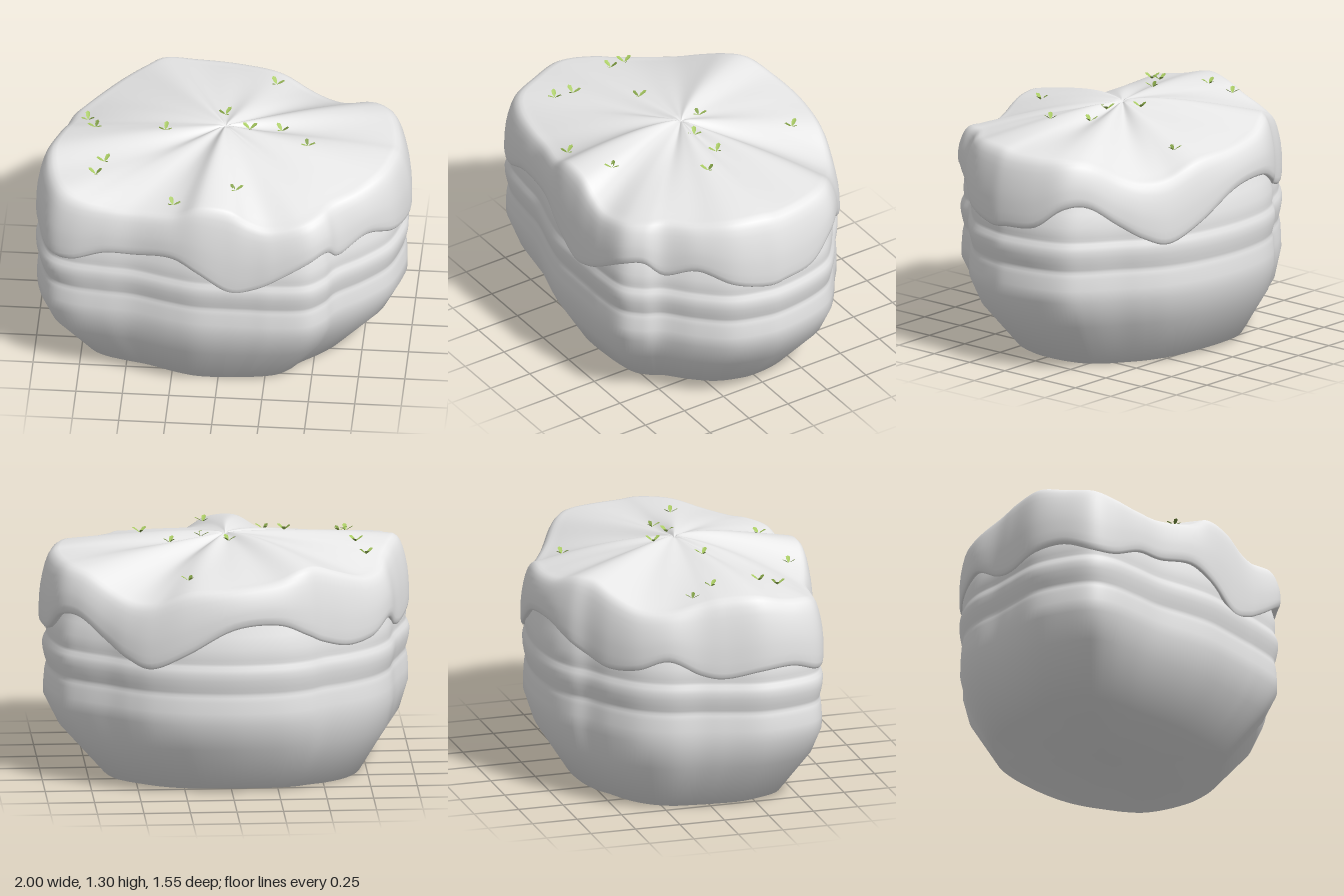
import * as THREE from 'three';

// outline control points: x, z, height of the drooping hem, height of the top edge
const OUTLINE = [
  [1, 0, .81, 1.2], [.99, .12, .8, 1.21], [.93, .3, .84, 1.2], [.8, .45, .91, 1.17],
  [.66, .57, .85, 1.16], [.6, .67, .93, 1.15], [.5, .75, .9, 1.13], [.32, .77, .79, 1.1],
  [.2, .77, .73, 1.13], [.07, .77, .71, 1.2], [-.1, .765, .82, 1.21], [-.25, .73, .89, 1.14],
  [-.45, .67, .86, 1.11], [-.62, .65, .85, 1.11], [-.8, .62, .78, 1.13], [-.92, .55, .78, 1.16],
  [-.98, .4, .83, 1.18], [-1, .22, .82, 1.22], [-.95, .03, .78, 1.21], [-.91, -.1, .8, 1.18],
  [-.87, -.27, .88, 1.14], [-.78, -.42, .82, 1.14], [-.64, -.54, .8, 1.19], [-.5, -.62, .84, 1.24],
  [-.4, -.7, .9, 1.24], [-.24, -.76, .97, 1.19], [0, -.78, .95, 1.16], [.25, -.75, .81, 1.14],
  [.44, -.69, .72, 1.07], [.57, -.615, .76, 1.06], [.68, -.53, .84, 1.1], [.82, -.43, .95, 1.18],
  [.92, -.33, .94, 1.2], [.975, -.18, .83, 1.2],
];
const SEG = 204, CZ = 0.03, EDGE = 0.89;

// smooth periodic sampling of the outline
const samples = Array.from({ length: SEG }, (_, j) => {
  const n = OUTLINE.length, u = (j / SEG) * n, i = Math.floor(u), t = u - i;
  const p = k => OUTLINE[(i + k + n) % n];
  const [x, z, hem, top] = [0, 1, 2, 3].map(c => {
    const a = p(-1)[c], b = p(0)[c], d = p(1)[c], e = p(2)[c];
    return b + 0.5 * t * (d - a + t * (2 * a - 5 * b + 4 * d - e + t * (3 * (b - d) + e - a)));
  });
  return { x, z, hem, top, a: Math.atan2(z - CZ, x) };
});

const angleGap = (a, b) => Math.abs(Math.atan2(Math.sin(a - b), Math.cos(a - b)));

// radial folds of the upper face: angle, half width, height
const FOLDS = [
  [-0.08, .22, -.03], [0.72, .16, -.02], [2.65, .16, -.02], [-1.6, .25, -.02],
  [-2.35, .3, .02], [-0.75, .25, -.025], [1.6, .25, .025], [0.33, .15, .01],
];

// height of the cap's upper face; t runs from the centre (0) to the edge (1)
function topHeight(s, t) {
  const reach = (t / 0.35) * Math.exp(1 - t / 0.35) * (1 - t * t * t);
  const fold = FOLDS.reduce((h, [a, w, d]) => h + d * Math.exp(-((angleGap(s.a, a) / w) ** 2)), 0);
  const wrinkle = 0.005 * Math.sin(11 * s.a + 0.6) * 4 * t * (1 - t);
  const dimple = -0.012 * Math.max(0, 1 - t / 0.04);
  return s.top + (1.285 - s.top) * (1 - Math.pow(t, 1.6)) + fold * reach + wrinkle + dimple;
}

// skin of rings listed from bottom to top; each ring maps a sample to [x, y, z]
function skin(rings) {
  const pos = [], idx = [];
  rings.forEach(ring => samples.forEach(s => pos.push(...ring(s))));
  for (let i = 0; i < rings.length - 1; i++)
    for (let j = 0; j < SEG; j++) {
      const k = (j + 1) % SEG, a = i * SEG + j, b = i * SEG + k, c = a + SEG, d = b + SEG;
      idx.push(a, c, b, b, c, d);
    }
  const g = new THREE.BufferGeometry();
  g.setAttribute('position', new THREE.Float32BufferAttribute(pos, 3));
  g.setIndex(idx);
  g.computeVertexNormals();
  return g;
}

const scaled = (s, k, y) => [s.x * k, y, CZ + (s.z - CZ) * k];

// body ring: scaled outline, blended into a plain ellipse and shifted in x towards the foot
const bodyRing = ([y, k, round, shift = -.01]) => s => {
  const e = Math.atan2(s.z / 0.74, s.x / 0.96);
  const x = THREE.MathUtils.lerp(s.x, 0.95 * Math.cos(e), round);
  const z = THREE.MathUtils.lerp(s.z, 0.75 * Math.sin(e), round);
  return [x * k + shift, y + 0.03 * round * (1 + Math.sin(3 * s.a)), z * k];
};

function leafGeometry() {
  // rounded leaf slightly folded along its middle, rising outwards
  const g = new THREE.BufferGeometry();
  g.setAttribute('position', new THREE.Float32BufferAttribute([
    0, 0, 0, .045, .028, 0, .016, .013, -.010, .034, .025, -.012, .016, .013, .010, .034, .025, .012,
  ], 3));
  g.setIndex([0, 1, 3, 0, 3, 2, 0, 5, 1, 0, 4, 5]);
  g.computeVertexNormals();
  return g;
}

export function createModel() {
  const model = new THREE.Group();
  const stone = new THREE.MeshStandardMaterial({ color: 0xf2f2f2 });
  stone.name = 'off white';
  const light = new THREE.MeshStandardMaterial({ color: 0xa6c860, side: THREE.DoubleSide });
  light.name = 'leaf green';
  const dark = new THREE.MeshStandardMaterial({ color: 0x7c9a40, side: THREE.DoubleSide });
  dark.name = 'dark leaf green';
  const add = (name, geo, mat, parent = model) => {
    const m = new THREE.Mesh(geo, mat);
    m.name = name;
    parent.add(m);
    return m;
  };

  // layered body: softly shaded underside and foot, main bulge, then two thinner bulges
  add('body', skin([
    [.01, 0, 0, -.05], [0, .735, .3, -.05], [.26, .935, .15, -.025], [.41, .987, .02],
    [.48, .985, 0], [.54, .98, 0], [.565, .975, 0], [.58, .97, 0], [.595, .973, 0],
    [.62, .981, 0], [.66, .99, 0], [.695, .992, 0], [.72, .985, 0], [.74, .974, 0],
    [.755, .97, 0], [.775, .974, 0], [.83, .972, 0], [.9, .95, 0], [1.02, .9, 0],
  ].map(bodyRing)), stone);

  // draped cap: rolled hem, side wall, rounded shoulder, wrinkled top
  const wall = [
    [0.02, .94], [-0.004, .965], [-0.006, .985], [.006, .995], [.03, 1],
  ].map(([dy, k]) => s => scaled(s, k, s.hem + dy));
  [[.2, 1], [.35, .998], [.5, .992], [.65, .981], [.78, .968], [.88, .953], [.95, .935], [.99, .912]]
    .forEach(([f, k]) => wall.push(s => scaled(s, k, s.hem + (s.top - s.hem) * f)));
  for (let i = 24; i >= 0; i--) {
    const t = Math.pow(i / 24, 1.3);
    wall.push(s => scaled(s, EDGE * t, topHeight(s, t)));
  }
  add('cap', skin(wall), stone);

  // three-leaved sprouts scattered over the top
  const leaf = leafGeometry();
  [[.23, -.53], [-.75, -.1], [-.7, .02], [-.01, -.09], [.13, .03], [.3, 0], [.45, .15],
    [-.32, .09], [-.63, .31], [-.67, .4], [.09, .53], [-.24, .6]].forEach(([x, z], i) => {
    const a = Math.atan2(z - CZ, x);
    const s = samples.reduce((p, q) => (angleGap(q.a, a) < angleGap(p.a, a) ? q : p));
    const t = Math.hypot(x, z - CZ) / (EDGE * Math.hypot(s.x, s.z - CZ));
    const sprout = new THREE.Group();
    sprout.name = 'sprout';
    sprout.position.set(x, topHeight(s, Math.min(t, 1)), z);
    for (let k = 0; k < 3; k++) {
      const m = add('leaf', leaf, k === 2 ? dark : light, sprout);
      m.rotation.y = i * 1.7 + k * 2.1;
      m.scale.setScalar(k === 2 ? 0.85 : 1);
    }
    model.add(sprout);
  });
  return model;
}
